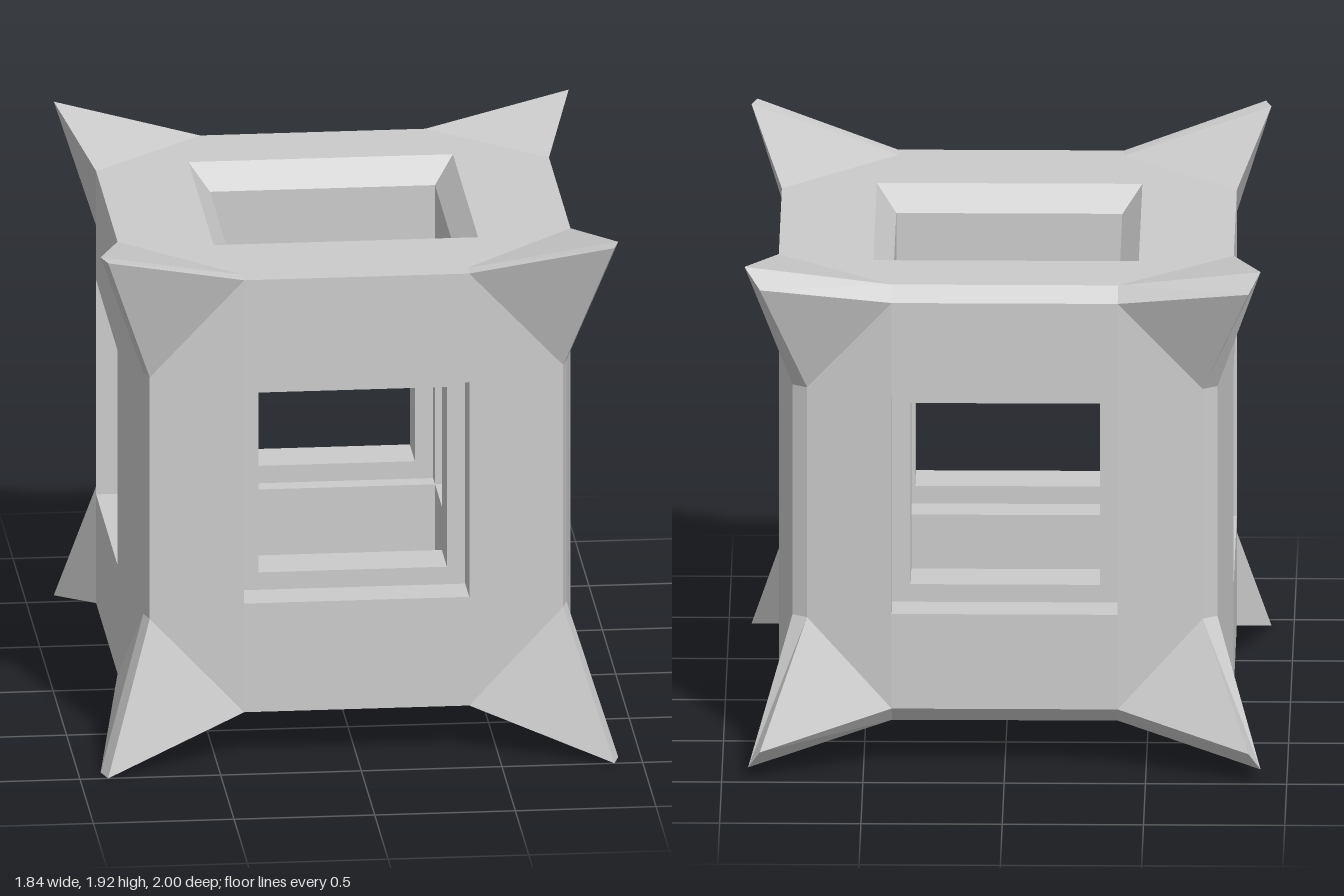
import * as THREE from 'three';

const V = (x, y, z) => new THREE.Vector3(x, y, z);
const CENTRE = V(0, 0.98, -0.045);
const HOLE = 0.4, LIP = 0.335;

const SIGNS = [1, -1];

// Collects flat triangles and turns them into one mesh
class Patch {
  constructor() { this.points = []; }
  tri(a, b, c) { this.points.push(a, b, c); }
  quad(a, b, c, d) { this.tri(a, b, c); this.tri(a, c, d); }
  // Triangle fan whose faces are turned away from the centre
  outer(...p) {
    for (let i = 1; i < p.length - 1; i++) {
      const [a, b, c] = [p[0], p[i], p[i + 1]];
      const n = b.clone().sub(a).cross(c.clone().sub(a));
      const mid = a.clone().add(b).add(c).divideScalar(3).sub(CENTRE);
      if (n.dot(mid) >= 0) this.tri(a, b, c);
      else this.tri(a, c, b);
    }
  }
  mesh(name, material) {
    const g = new THREE.BufferGeometry().setFromPoints(this.points);
    g.computeVertexNormals();
    const m = new THREE.Mesh(g, material);
    m.name = name;
    return m;
  }
}

// Named points around one corner of the body
function corner(sx, sy, sz) {
  const front = sz > 0, top = sy > 0;
  const edgeY = top ? 1.785 : 0.175;
  const baseY = 0.98 + sy * (front ? 0.45 : 0.425);
  const holeZ = CENTRE.z + sz * HOLE;
  const faceZ = front ? 0.83 : -0.855;
  const p = {
    sideBase: V(0.752, baseY, front ? 0.76 : -0.78),
    frontBase: V(0.735, baseY, front ? 0.82 : -0.815),
    topEdge: V(0.4, edgeY, front ? 0.765 : -0.81),
    frontEdge: V(0.4, front ? edgeY : edgeY - sy * 0.055, faceZ),
    sideEdge: V(0.805, edgeY, holeZ),
    frontHole: V(HOLE, 0.98 + sy * HOLE, faceZ),
    sideHole: V(0.805, 0.98 + sy * HOLE, holeZ),
    topHole: V(0.47, edgeY, CENTRE.z + sz * 0.47),
  };
  // Each spike ends in a short edge
  if (front) {
    p.tipSide = V(0.92, top ? 1.92 : 0, 0.93);
    p.tipFront = V(0.9, top ? 1.92 : 0, 1);
  } else {
    const short = top && sx > 0;
    p.tipSide = V(short ? 0.92 : 0.907, top ? 1.88 : 0.04, short ? -0.915 : -0.953);
    p.tipFront = V(0.865, top ? 1.81 : 0.11, short ? -0.97 : -1);
    p.frontBase.x = 0.7;
  }
  for (const v of Object.values(p)) v.x *= sx;
  return p;
}

// Square tunnel lofted through [half size, distance from centre] rings
function tunnel(patch, u, v, n, rings) {
  const ring = ([h, d]) => [[1, 1], [-1, 1], [-1, -1], [1, -1]].map(([a, b]) =>
    CENTRE.clone().addScaledVector(u, a * h).addScaledVector(v, b * h).addScaledVector(n, d));
  for (let r = 0; r < rings.length - 1; r++) {
    const a = ring(rings[r]), b = ring(rings[r + 1]);
    for (let i = 0; i < 4; i++) {
      const j = (i + 1) % 4;
      patch.quad(a[i], a[j], b[j], b[i]);
    }
  }
}

export function createModel() {
  const group = new THREE.Group();
  const material = new THREE.MeshStandardMaterial({ color: 0xcccccc, flatShading: true });
  const spikes = new Patch(), panels = new Patch(), bevels = new Patch();
  const frames = new Patch(), wells = new Patch();
  const at = {};
  const c = (x, y, z) => at[[x, y, z]];

  for (const x of SIGNS) for (const y of SIGNS) for (const z of SIGNS) {
    const p = at[[x, y, z]] = corner(x, y, z);
    // Spike: three facets and two bevel strips
    spikes.outer(p.frontEdge, p.tipFront, p.frontBase);
    spikes.outer(p.sideEdge, p.tipSide, p.sideBase);
    spikes.outer(p.topEdge, p.tipSide, p.sideEdge);
    spikes.outer(p.topEdge, p.frontEdge, p.tipFront, p.tipSide);
    spikes.outer(p.frontBase, p.sideBase, p.tipSide, p.tipFront);
    // Corner triangles of the three neighbouring faces
    panels.outer(p.frontHole, p.frontEdge, p.frontBase);
    panels.outer(p.sideHole, p.sideEdge, p.sideBase);
    panels.outer(p.topHole, p.topEdge, p.sideEdge);
  }

  // Strip joining the same pair of points on two corners
  const join = (patch, a, b, k, l) => patch.outer(a[k], b[k], b[l], a[l]);
  for (const s of SIGNS) for (const t of SIGNS) {
    // Along x
    const xa = c(1, s, t), xb = c(-1, s, t);
    join(panels, xa, xb, 'frontHole', 'frontEdge');
    join(panels, xa, xb, 'topHole', 'topEdge');
    join(bevels, xa, xb, 'topEdge', 'frontEdge');
    // Along y
    const ya = c(s, 1, t), yb = c(s, -1, t);
    join(panels, ya, yb, 'frontHole', 'frontBase');
    join(panels, ya, yb, 'sideHole', 'sideBase');
    join(bevels, ya, yb, 'sideBase', 'frontBase');
    // Along z
    const za = c(s, t, 1), zb = c(s, t, -1);
    join(panels, za, zb, 'sideHole', 'sideEdge');
    join(panels, za, zb, 'topHole', 'sideEdge');
  }

  // Upright openings, each with a raised inner lip
  const up = V(0, 1, 0);
  const depths = [0.875, 0.805, 0.81, 0.805];
  depths.forEach((d, i) => {
    const a = i * Math.PI / 2;
    const u = V(Math.cos(a), 0, -Math.sin(a)), n = V(Math.sin(a), 0, Math.cos(a));
    tunnel(frames, u, up, n, [[HOLE, d], [HOLE, d - 0.15], [LIP, d - 0.15],
      [LIP, d - 0.34], [HOLE, d - 0.34], [HOLE, HOLE]]);
  });

  // Top and bottom openings with a chamfered rim
  for (const s of SIGNS) {
    tunnel(wells, V(1, 0, 0), V(0, 0, -s), V(0, s, 0),
      [[0.47, 0.805], [HOLE, 0.715], [HOLE, HOLE]]);
  }

  group.add(
    spikes.mesh('cornerSpikes', material),
    panels.mesh('facePanels', material),
    bevels.mesh('edgeBevels', material),
    frames.mesh('sideOpenings', material),
    wells.mesh('topAndBottomOpenings', material),
  );
  return group;
}
